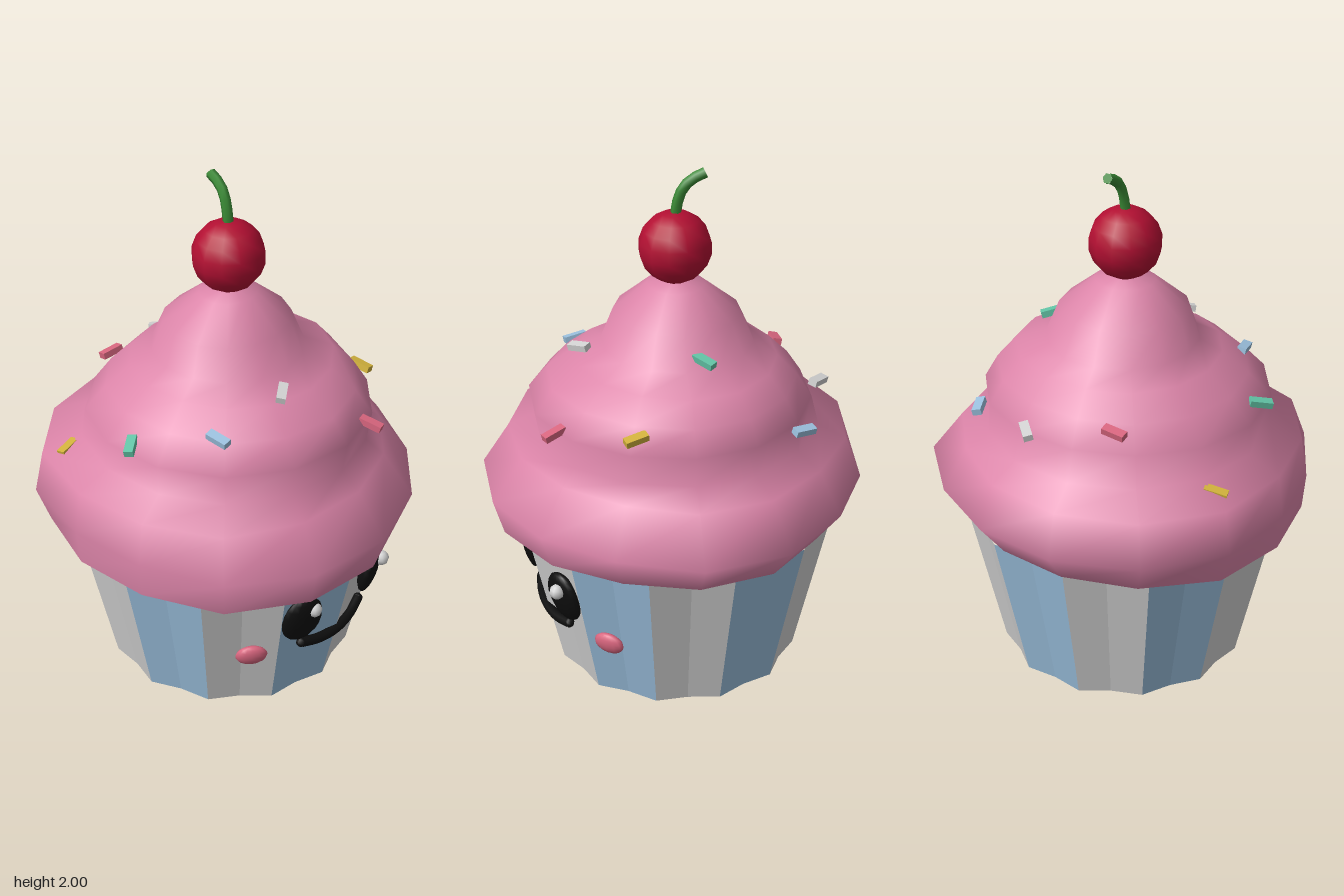
import * as THREE from 'three';

const mat = (name, color, flat = false) => {
  const m = new THREE.MeshStandardMaterial({ color, flatShading: flat });
  m.name = name;
  return m;
};

const CZ = 0.03; // z of the cake's axis

export function createModel() {
  const group = new THREE.Group();
  group.name = 'cupcake';

  const M = {
    frosting: mat('frosting pink', 0xdb84a8),
    cherry: mat('cherry red', 0xb20f32),
    stem: mat('stem green', 0x3a8a35),
    blue: mat('wrapper blue', 0x9bc0de),
    white: mat('wrapper white', 0xd2d2d2),
    black: mat('face black', 0x0e0e0e),
    rose: mat('cheek rose', 0xd9667f),
    yellow: mat('sprinkle yellow', 0xd2b23c),
    teal: mat('sprinkle teal', 0x62c4a6),
  };

  const add = (name, geometry, material, x = 0, y = 0, z = 0) => {
    const mesh = new THREE.Mesh(geometry, material);
    mesh.name = name;
    mesh.position.set(x, y, z);
    group.add(mesh);
    return mesh;
  };

  // Pleated wrapper: twelve stripes, each folded in along its middle
  const wrapperStripes = (parity) => {
    const pos = [];
    const point = (k, y, r) => {
      const a = (k * Math.PI) / 12;
      const rr = k % 2 ? r * 0.94 : r;
      return [Math.cos(a) * rr, y, Math.sin(a) * rr];
    };
    for (let k = 0; k < 24; k++) {
      if ((k >> 1) % 2 !== parity) continue;
      const a = point(k, 0, 0.48), b = point(k + 1, 0, 0.48);
      const c = point(k + 1, 0.64, 0.622), d = point(k, 0.64, 0.622);
      pos.push(...a, ...d, ...b, ...b, ...d, ...c); // side
      pos.push(0, 0, 0, ...a, ...b); // base
    }
    const g = new THREE.BufferGeometry();
    g.setAttribute('position', new THREE.Float32BufferAttribute(pos, 3));
    g.computeVertexNormals();
    return g;
  };
  add('wrapperBlueStripes', wrapperStripes(0), M.blue, 0, 0, CZ);
  add('wrapperWhiteStripes', wrapperStripes(1), M.white, 0, 0, CZ);

  // Frosting rings: height, then radius towards +x, +z, -x, -z
  const rings = [
    [0.63, 0.70, 0.69, 0.63, 0.66],
    [0.77, 0.74, 0.70, 0.74, 0.77],
    [0.935, 0.62, 0.68, 0.69, 0.64],
    [0.99, 0.54, 0.56, 0.56, 0.53],
    [1.11, 0.56, 0.56, 0.52, 0.54],
    [1.2, 0.49, 0.47, 0.46, 0.49],
    [1.28, 0.385, 0.37, 0.38, 0.42],
    [1.33, 0.28, 0.285, 0.30, 0.295],
    [1.45, 0.23, 0.25, 0.245, 0.245],
    [1.56, 0.105, 0.12, 0.11, 0.11],
    [1.58, 0.01, 0.01, 0.01, 0.01],
  ];
  const SIDES = 14;
  const pos = [];
  const index = [];
  for (const [y, ...r] of rings) {
    for (let j = 0; j < SIDES; j++) {
      const a = (j / SIDES) * Math.PI * 2;
      const q = Math.floor((j * 4) / SIDES);
      const t = Math.sin(a - (q * Math.PI) / 2) ** 2;
      const bulge = (q < 2 ? 0.06 : -0.06) * Math.sin(2 * a) ** 2;
      const rad = (r[q] * (1 - t) + r[(q + 1) % 4] * t) * (1 + (y < 0.95 ? bulge : bulge * 0.3));
      pos.push(Math.cos(a) * rad, y, Math.sin(a) * rad);
    }
  }
  for (let i = 0; i < rings.length - 1; i++) {
    for (let j = 0; j < SIDES; j++) {
      const n = (j + 1) % SIDES;
      const a = i * SIDES + j, b = i * SIDES + n;
      index.push(a, a + SIDES, b, b, a + SIDES, b + SIDES);
    }
  }
  const swirl = new THREE.BufferGeometry();
  swirl.setAttribute('position', new THREE.Float32BufferAttribute(pos, 3));
  swirl.setIndex(index);
  swirl.computeVertexNormals();
  add('frosting', swirl, M.frosting, 0, 0, CZ);

  // Flat underside of the frosting
  const under = [];
  for (let j = 0; j < SIDES; j++) {
    const a = j * 3, b = ((j + 1) % SIDES) * 3;
    under.push(0, 0.63, 0, ...pos.slice(a, a + 3), ...pos.slice(b, b + 3));
  }
  const underside = new THREE.BufferGeometry();
  underside.setAttribute('position', new THREE.Float32BufferAttribute(under, 3));
  underside.computeVertexNormals();
  add('frostingUnderside', underside, M.frosting, 0, 0, CZ);

  // Cherry and its bent stem
  add('cherry', new THREE.SphereGeometry(0.138, 12, 9), M.cherry, 0, 1.703, 0.035);
  const stemPath = new THREE.CatmullRomCurve3([
    [0, 1.8, 0.035], [-0.005, 1.86, 0.034], [-0.025, 1.925, 0.027], [-0.055, 1.96, 0.018], [-0.107, 1.985, 0.008],
  ].map((p) => new THREE.Vector3(...p)));
  add('stem', new THREE.TubeGeometry(stemPath, 6, 0.02, 6), M.stem);
  const tip = add('stemTip', new THREE.CircleGeometry(0.02, 6), M.stem, -0.107, 1.985, 0.008);
  tip.lookAt(tip.position.clone().add(stemPath.getTangent(1)));

  // Face on the +x side; s mirrors each part across the axis
  const onWrapper = (name, material, radii, r, y, dz) => {
    const x = Math.sqrt(r * r - dz * dz);
    const mesh = add(name, new THREE.SphereGeometry(1, 12, 10), material, x, y, CZ + dz);
    mesh.scale.set(...radii);
    mesh.rotation.set(0, -Math.atan2(dz, x), -0.2, 'YXZ');
    return mesh;
  };
  for (const s of [1, -1]) {
    const side = s > 0 ? 'right' : 'left';
    onWrapper(side + 'Eye', M.black, [0.035, 0.112, 0.086], 0.575, 0.43, s * 0.212);
    onWrapper(side + 'Cheek', M.rose, [0.025, 0.046, 0.062], 0.54, 0.275, s * 0.355);
    add(side + 'EyeHighlight', new THREE.SphereGeometry(0.03, 8, 6), M.white, 0.572, 0.475, CZ - 0.027 + s * 0.212);
  }
  const smilePath = new THREE.CatmullRomCurve3(
    [-0.18, -0.1, 0, 0.1, 0.18].map((dz) =>
      new THREE.Vector3(Math.sqrt(0.54 ** 2 - dz * dz), 0.257 + 0.025 * (dz / 0.18) ** 2, CZ + dz)));
  add('smile', new THREE.TubeGeometry(smilePath, 14, 0.02, 8), M.black);
  for (const t of [0, 1]) {
    const p = smilePath.getPoint(t);
    add('smileEnd', new THREE.SphereGeometry(0.02, 8, 6), M.black, p.x, p.y, p.z);
  }

  // Sprinkles: material, position, heading (x, z)
  const sprinkles = [
    [M.white, -0.515, 1.145, -0.147, 20, -13],
    [M.yellow, 0.308, 1.17, -0.383, 20, -2],
    [M.teal, 0, 1.37, -0.26, 10, 17],
    [M.blue, -0.335, 1.1, -0.42, 20, -4],
    [M.rose, 0.54, 1.115, -0.14, 20, -5],
    [M.rose, -0.475, 1.185, 0.178, -4, 20],
    [M.white, 0.345, 1.305, 0.146, 12, 18],
    [M.blue, 0.275, 1.212, 0.418, 20, 0],
    [M.yellow, -0.375, 0.96, 0.53, 1, 20],
    [M.teal, -0.005, 1.145, 0.575, 10, 17],
  ];
  const bar = new THREE.BoxGeometry(0.088, 0.025, 0.035);
  for (const [material, x, y, z, hx, hz] of sprinkles) {
    const mesh = add('sprinkle', bar, material, x, y, z);
    const up = new THREE.Vector3(x, 0, z - CZ).normalize().multiplyScalar(0.25).setY(1).normalize();
    const along = new THREE.Vector3(hx, 0, hz).projectOnPlane(up).normalize();
    const across = new THREE.Vector3().crossVectors(along, up);
    mesh.quaternion.setFromRotationMatrix(new THREE.Matrix4().makeBasis(along, up, across));
  }

  return group;
}
